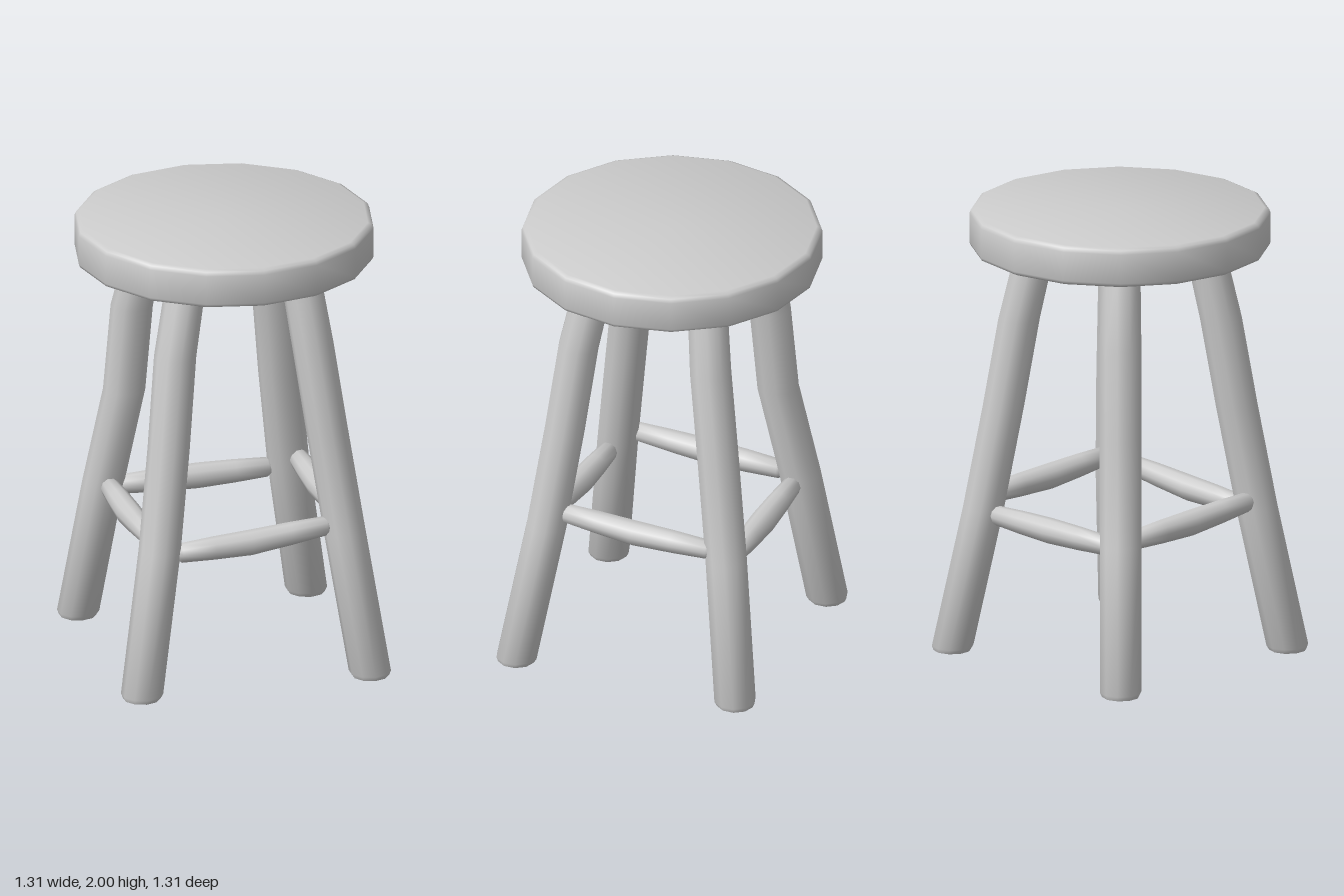
import * as THREE from 'three';
import { toCreasedNormals } from 'three/addons/utils/BufferGeometryUtils.js';

const material = new THREE.MeshStandardMaterial({ color: 0xcccccc });

// Closed round bar through rings [x, y, z, radius]; 'along' points from the last ring to the first
function bar(name, rings, along, sides) {
  const n = rings.length - 1;
  const geometry = new THREE.CylinderGeometry(1, 1, 1, sides, n);
  const u = along.y ? new THREE.Vector3(1, 0, 0) : new THREE.Vector3(0, 1, 0);
  const v = u.clone().cross(along);
  const pos = geometry.attributes.position;
  const p = new THREE.Vector3();
  for (let i = 0; i < pos.count; i++) {
    const [x, y, z, r] = rings[Math.round((0.5 - pos.getY(i)) * n)];
    p.set(x, y, z).addScaledVector(u, r * pos.getX(i)).addScaledVector(v, r * pos.getZ(i));
    pos.setXYZ(i, p.x, p.y, p.z);
  }
  const mesh = new THREE.Mesh(toCreasedNormals(geometry, 1.0), material);
  mesh.name = name;
  return mesh;
}

// Leg from under the seat to the floor, with slight natural bends
function leg(name, sx, sz, xs, zs) {
  const heights = [1.86, 1.5, 1.1, 0.65, 0.02, 0];
  const radii = [0.088, 0.092, 0.092, 0.092, 0.092, 0.082];
  const rings = heights.map((y, i) => [sx * xs[i], y, sz * zs[i], radii[i]]);
  return bar(name, rings, new THREE.Vector3(0, 1, 0), 10);
}

// Rung from a to b: thicker in the middle, rounded at both ends
function rung(name, a, mid, b, along) {
  const A = new THREE.Vector3(...a), M = new THREE.Vector3(...mid), B = new THREE.Vector3(...b);
  const stops = [[0, 0.028], [0.03, 0.043], [0.25, 0.051], [0.5, 0.056], [0.75, 0.051], [0.97, 0.043], [1, 0.028]];
  const rings = stops.map(([t, r]) => {
    const p = t < 0.5 ? A.clone().lerp(M, t * 2) : M.clone().lerp(B, t * 2 - 1);
    return [p.x, p.y, p.z, r];
  });
  return bar(name, rings, along, 10);
}

export function createModel() {
  const model = new THREE.Group();
  model.name = 'stool';

  // Sixteen-sided seat with softened rims
  const profile = [[0, 1.825], [0.635, 1.825], [0.65, 1.832], [0.655, 1.845],
    [0.655, 1.975], [0.648, 1.992], [0.63, 2], [0, 2]].map(([r, y]) => new THREE.Vector2(r, y));
  const seat = new THREE.Mesh(toCreasedNormals(new THREE.LatheGeometry(profile, 16), 0.9), material);
  seat.name = 'seat';
  model.add(seat);

  // Legs
  const straight = [0.265, 0.312, 0.366, 0.428, 0.514, 0.516];
  const bent = [0.24, 0.308, 0.352, 0.41, 0.514, 0.516];
  const crooked = [0.258, 0.325, 0.352, 0.425, 0.514, 0.516];
  model.add(
    leg('frontLeftLeg', 1, 1, straight, bent),
    leg('frontRightLeg', -1, 1, bent, straight),
    leg('backLeftLeg', 1, -1, bent, straight),
    leg('backRightLeg', -1, -1, crooked, crooked),
  );

  // Rungs
  const X = new THREE.Vector3(1, 0, 0), Z = new THREE.Vector3(0, 0, 1);
  model.add(
    rung('frontRung', [0.36, 0.68, 0.42], [0, 0.64, 0.43], [-0.335, 0.625, 0.435], X),
    rung('backRung', [0.335, 0.63, -0.435], [0, 0.625, -0.43], [-0.36, 0.625, -0.42], X),
    rung('leftRung', [0.42, 0.72, 0.34], [0.43, 0.695, 0], [0.435, 0.69, -0.375], Z),
    rung('rightRung', [-0.435, 0.685, 0.36], [-0.43, 0.66, 0], [-0.42, 0.65, -0.35], Z),
  );
  return model;
}
